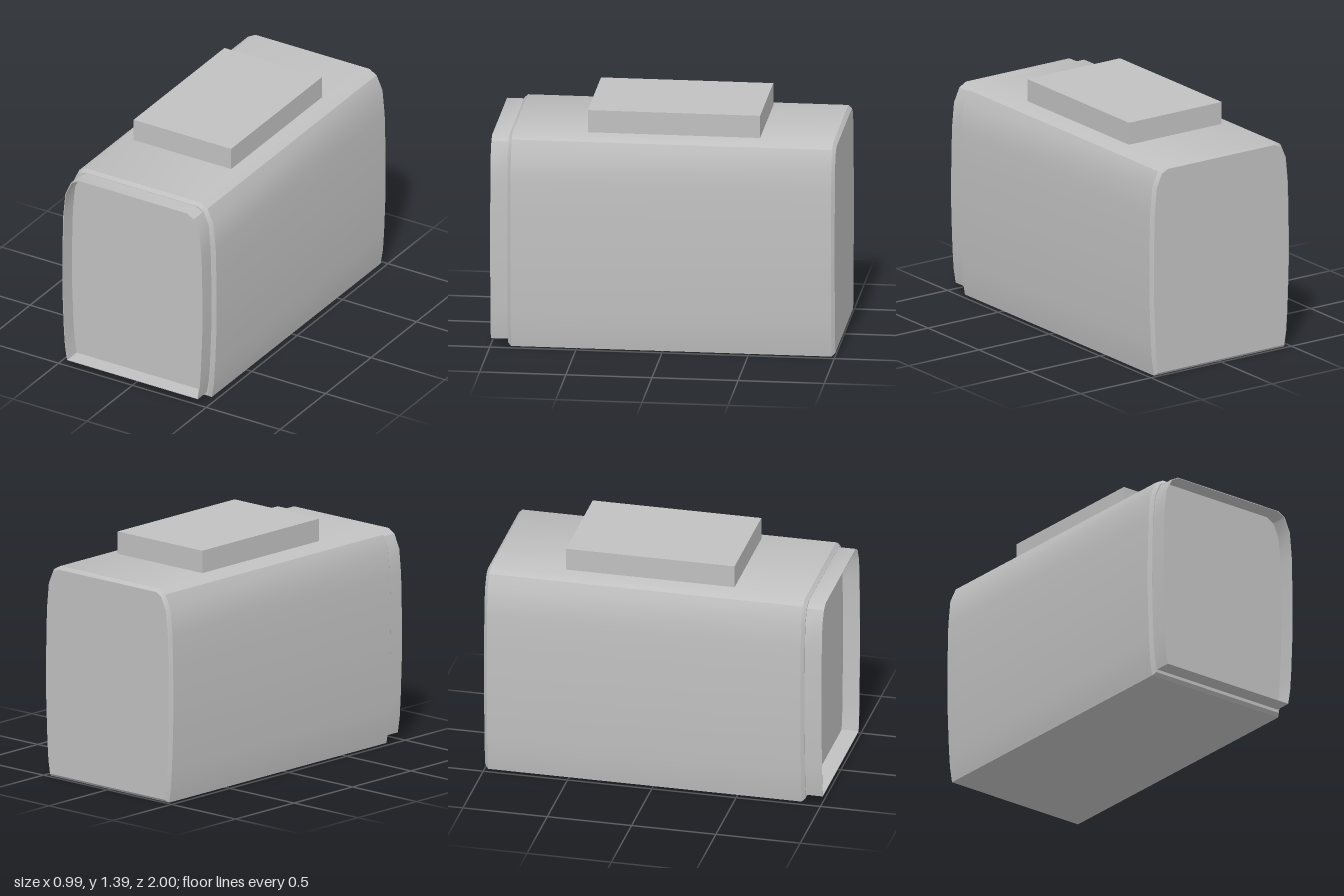
import * as THREE from 'three';
import { toCreasedNormals } from 'three/addons/utils/BufferGeometryUtils.js';

// Right half of the barrel-sided cross-section, from bottom to top
const HALF = [
  [0.463, 0.008], [0.478, 0.1], [0.486, 0.22], [0.495, 0.45], [0.497, 0.6], [0.495, 0.8],
  [0.49, 1.0], [0.475, 1.155], [0.435, 1.243], [0.385, 1.27],
];

// Full closed outline, scaled and shifted in y
function outline(sx, sy, dy) {
  const right = HALF.map(([x, y]) => new THREE.Vector2(x * sx, y * sy + dy));
  const left = right.map((p) => new THREE.Vector2(-p.x, p.y)).reverse();
  return [...right, ...left];
}

export function createModel() {
  const group = new THREE.Group();
  const grey = new THREE.MeshStandardMaterial({ color: 0xc0c0c0 });
  grey.name = 'light grey';

  const add = (name, geometry, x, y, z) => {
    const mesh = new THREE.Mesh(geometry, grey);
    mesh.name = name;
    mesh.position.set(x, y, z);
    group.add(mesh);
  };

  // Long housing with small chamfers around both ends
  const housing = new THREE.ExtrudeGeometry(new THREE.Shape(outline(1, 1, 0)), {
    depth: 1.86, bevelEnabled: true, bevelSegments: 1,
    bevelSize: 0.018, bevelThickness: 0.02, bevelOffset: -0.018,
  });
  add('housing', toCreasedNormals(housing, 0.6), 0, 0, -0.98);

  // Thin open rim standing out around the recessed front panel
  const ring = new THREE.Shape(outline(0.955, 0.955, 0.037));
  ring.holes.push(new THREE.Path(outline(0.947, 0.949, 0.041)));
  const rim = new THREE.ExtrudeGeometry(ring, { depth: 0.12, bevelEnabled: false });
  add('frontRim', toCreasedNormals(rim, 0.6), 0, 0, 0.88);

  // Flat block on the roof
  add('topBlock', new THREE.BoxGeometry(0.66, 0.14, 1), 0, 1.333, -0.05);

  return group;
}
